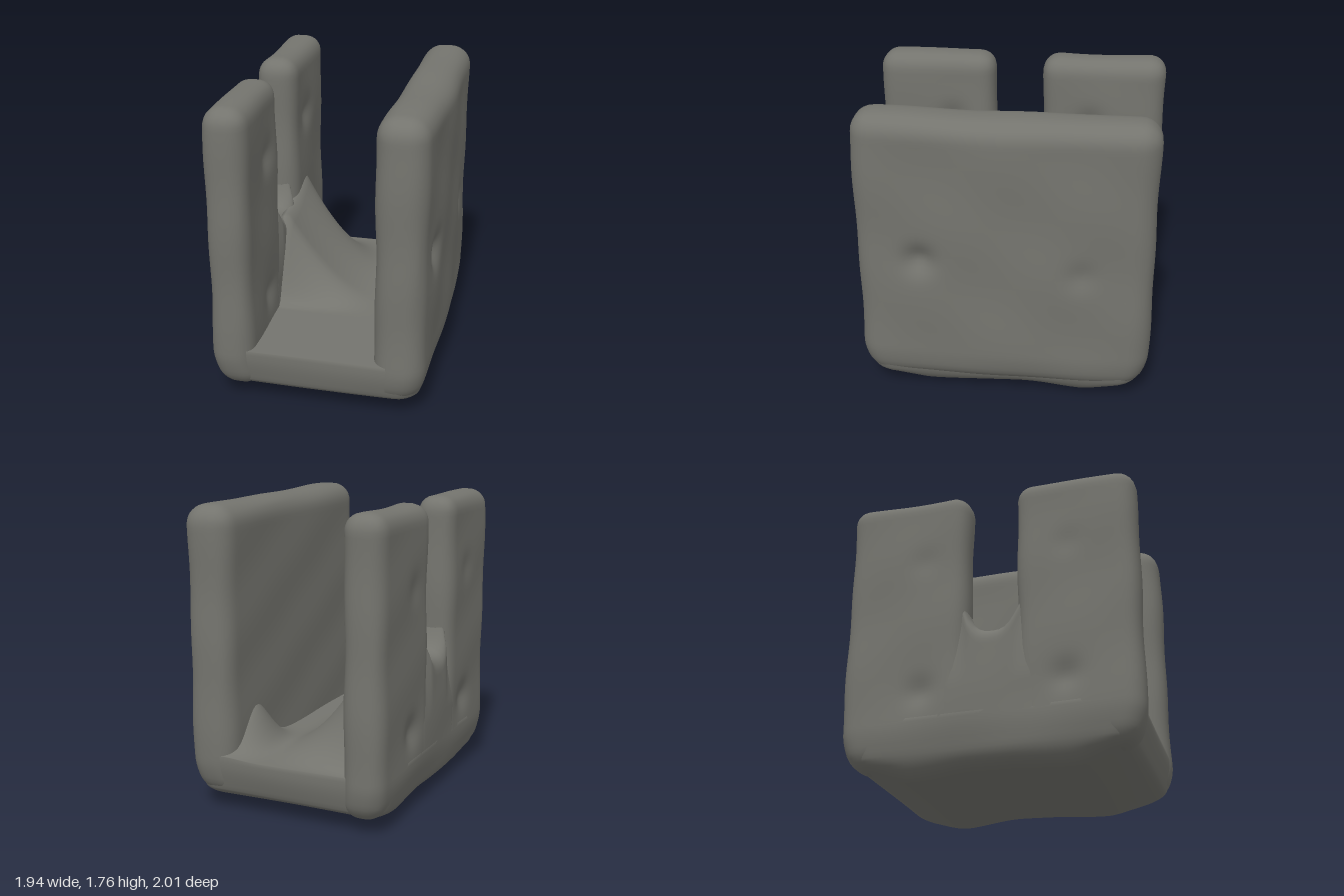
import * as THREE from 'three';
import { mergeVertices } from 'three/addons/utils/BufferGeometryUtils.js';

const clamp = THREE.MathUtils.clamp;
const smooth = THREE.MathUtils.smoothstep;

// Soft screw dents: [x, y, depth] on the outer and inner face of each wall
const frontDents = {
  outer: [[-0.39, 0.48, 0.03], [0.45, 0.48, 0.03], [-0.38, 1.3, 0.012], [0.47, 1.3, 0.012]],
  inner: [[0.42, 0.5, 0.03], [-0.42, 1.35, 0.03], [0.42, 1.35, 0.03]],
};
const backDents = {
  outer: [[0.47, 0.9, 0.05], [-0.44, 0.85, 0.02]],
  inner: [],
};

function dentDepth(list, x, y) {
  let d = 0;
  for (const [cx, cy, depth] of list) d += depth * Math.exp(-((x - cx) ** 2 + (y - cy) ** 2) / 0.007);
  return d;
}

// Finely divided slab with rounded edges, slightly uneven, bent by a rule and tucked in at the foot
function softSlab(min, max, radius, rule) {
  const lo = new THREE.Vector3(...min), hi = new THREE.Vector3(...max);
  const size = hi.clone().sub(lo);
  const seg = (s) => Math.max(8, Math.round(s / 0.03));
  let geo = new THREE.BoxGeometry(size.x, size.y, size.z, seg(size.x), seg(size.y), seg(size.z));
  geo.translate((lo.x + hi.x) / 2, (lo.y + hi.y) / 2, (lo.z + hi.z) / 2);
  geo.deleteAttribute('normal');
  geo.deleteAttribute('uv');
  geo = mergeVertices(geo, 1e-4);
  const coreLo = lo.clone().addScalar(radius), coreHi = hi.clone().subScalar(radius);
  const pos = geo.attributes.position;
  const p = new THREE.Vector3(), n = new THREE.Vector3(), core = new THREE.Vector3();
  for (let i = 0; i < pos.count; i++) {
    p.fromBufferAttribute(pos, i);
    core.copy(p).clamp(coreLo, coreHi);
    n.copy(p).sub(core).normalize();
    const wave = 0.003 * (Math.sin(9 * p.x + 5 * p.y) + Math.sin(11 * p.y - 6 * p.x + 4 * p.z));
    p.copy(core).addScaledVector(n, radius + wave);
    rule(p, n);
    const tuck = 1 - 0.09 * (1 - smooth(p.y, -0.05, 0.3));
    pos.setXYZ(i, p.x * tuck, p.y, p.z * tuck);
  }
  geo.computeVertexNormals();
  return geo;
}

// Presses the dents into a wall; side is +1 for the front wall and -1 for the back wall
function pressDents(dents, side) {
  return (p, n) => {
    const list = n.z * side > 0 ? dents.outer : dents.inner;
    p.z -= n.z * dentDepth(list, p.x, p.y);
  };
}

export function createModel() {
  const grey = new THREE.MeshStandardMaterial({ color: 0x74746e });
  grey.name = 'warm grey';

  const bracket = new THREE.Group();
  bracket.name = 'channelBracket';
  const add = (name, geo) => {
    const mesh = new THREE.Mesh(geo, grey);
    mesh.name = name;
    bracket.add(mesh);
  };

  const TOP = 1.75, BASE = 0.07, FLOOR = 0.325, FLOOR_END = 0.835;
  const FRONT_IN = 0.35, FRONT_OUT = 0.59, BACK_IN = -0.34, BACK_OUT = -0.62;
  const SLOT_L = -0.13, SLOT_R = 0.165;
  const pressFront = pressDents(frontDents, 1);
  const pressBack = pressDents(backDents, -1);

  // Floor with crisp top edges, a broad ramp climbing to the slot,
  // a small fillet at the back wall and a slightly uneven underside
  add('floor', softSlab([-FLOOR_END, 0, BACK_OUT], [FLOOR_END, FLOOR + 0.13, FRONT_OUT], 0.13, (p, n) => {
    if (n.y > 0) {
      p.y = Math.min(p.y, FLOOR);
      const across = clamp(1 - (FRONT_IN - p.z) / 0.6, 0, 1) ** 1.9 * (1 - smooth(p.z, 0.4, 0.5));
      const along = smooth(p.x, -0.83, -0.35) * (1 - smooth(p.x, 0.02, 0.27));
      p.y += across * (0.5 * along + 0.13 * Math.exp(-(((p.x + 0.38) / 0.2) ** 2)));
      p.y += 0.27 * smooth(-p.z, 0.08, 0.38) ** 2 * Math.exp(-(((p.x + 0.52) / 0.18) ** 2));
    } else if (n.y < 0) {
      const far = Math.abs(p.x);
      p.y -= n.y * (0.07 * smooth(far, 0.48, FLOOR_END) + 0.025 * (1 - smooth(far, 0.1, 0.5)));
    }
  }));

  // Solid back wall, its outer face bowed a little
  add('backWall', softSlab([-0.845, BASE, BACK_OUT], [0.84, TOP, BACK_IN], 0.115, (p, n) => {
    pressBack(p, n);
    if (n.z < 0) p.z += n.z * 0.025 * clamp(1 - (p.x / 0.8) ** 2, 0, 1);
  }));

  // Two uprights of the slotted front wall
  for (const [name, x0, x1] of [['frontUprightA', -0.865, SLOT_L], ['frontUprightB', SLOT_R, 0.865]]) {
    add(name, softSlab([x0, BASE, FRONT_IN], [x1, TOP, FRONT_OUT], 0.1, pressFront));
  }

  // Web joining the uprights, its top hollowed into the round end of the slot
  const middle = (SLOT_L + SLOT_R) / 2, centreZ = (FRONT_IN + FRONT_OUT) / 2;
  add('slotWeb', softSlab([SLOT_L - 0.2, BASE, FRONT_IN], [SLOT_R + 0.2, 0.84, FRONT_OUT], 0.1, (p, n) => {
    pressFront(p, n);
    const d = Math.min(Math.abs(p.x - middle) / 0.2, 1);
    const upper = smooth(p.y, 0.5, 0.74);
    p.y += 0.3 * d ** 3 * upper;
    p.z = centreZ + (p.z - centreZ) * (1 - 0.45 * smooth(d, 0.6, 1) * upper);
  }));

  // The bracket stands turned on its base
  bracket.rotation.y = -0.877;
  const model = new THREE.Group();
  model.name = 'slottedChannelBracket';
  model.add(bracket);
  return model;
}
